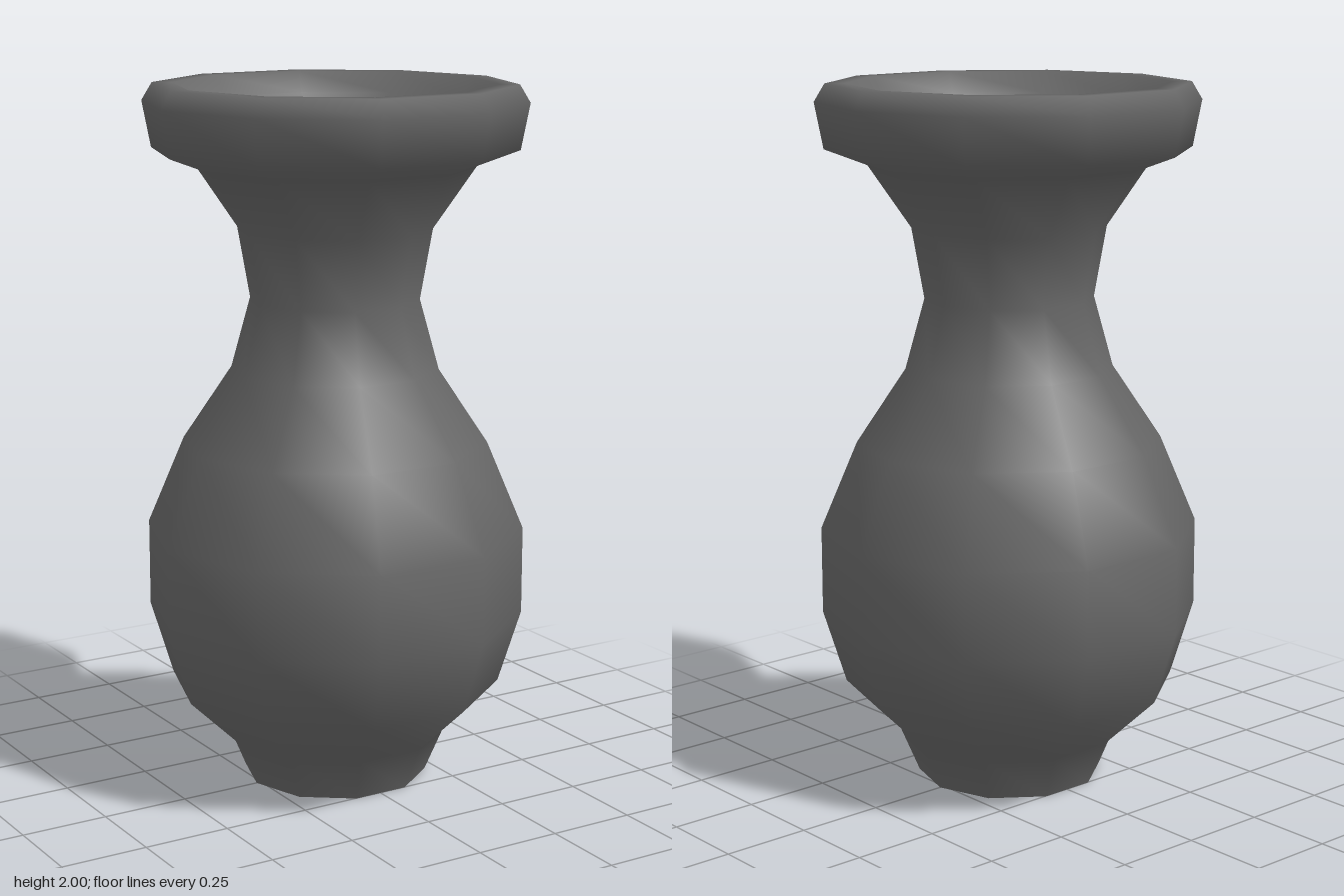
import * as THREE from 'three';
import { mergeVertices } from 'three/addons/utils/BufferGeometryUtils.js';

const SIDES = 10;

// Ten-sided turned surface, smooth across its seam and pole, with a corner on the +x axis
function turned(points) {
  const profile = points.map(([r, y]) => new THREE.Vector2(r, y));
  const lathe = new THREE.LatheGeometry(profile, SIDES, Math.PI / 2);
  lathe.deleteAttribute('normal');
  lathe.deleteAttribute('uv');
  const geometry = mergeVertices(lathe, 1e-4);
  geometry.computeVertexNormals();
  return geometry;
}

export function createModel() {
  const group = new THREE.Group();
  group.name = 'vase';

  // Thin wall, open at the foot, rolling over the lip into the bowl of the mouth
  const body = new THREE.Mesh(
    turned([
      [0.265, 0], [0.32, 0.13], [0.475, 0.28], [0.54, 0.49], [0.54, 0.74],
      [0.435, 0.99], [0.295, 1.2], [0.24, 1.4], [0.275, 1.6], [0.395, 1.775],
      [0.515, 1.82], [0.54, 1.95], [0.51, 2], [0.455, 2],
      [0.425, 1.94], [0, 1.55],
    ]),
    new THREE.MeshStandardMaterial({ color: 0x666666, side: THREE.DoubleSide }),
  );
  body.name = 'body';
  group.add(body);

  return group;
}
